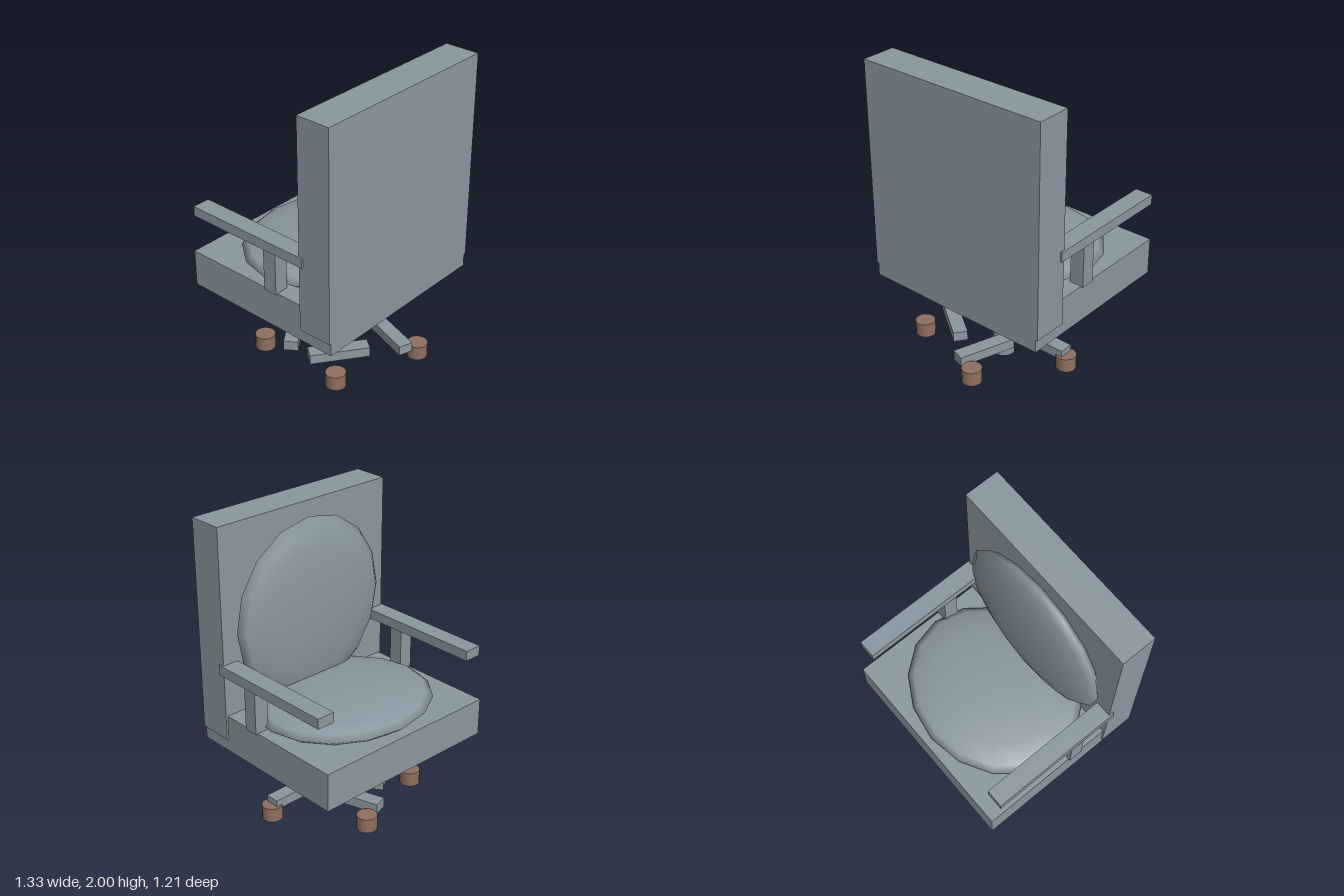
import * as THREE from 'three';

export function createModel() {
  const model = new THREE.Group();
  model.name = 'officeChair';
  const grey = new THREE.MeshStandardMaterial({ color: 0x8a97a0 });
  grey.name = 'blueGrey';
  const brown = new THREE.MeshStandardMaterial({ color: 0x8f6f60 });
  brown.name = 'brown';

  const add = (name, geometry, material, x, y, z) => {
    const mesh = new THREE.Mesh(geometry, material);
    mesh.name = name;
    mesh.position.set(x, y, z);
    model.add(mesh);
    return mesh;
  };
  // box given by its lower and upper limits on each axis
  const slab = (name, [x0, x1], [y0, y1], [z0, z1]) =>
    add(name, new THREE.BoxGeometry(x1 - x0, y1 - y0, z1 - z0), grey,
      (x0 + x1) / 2, (y0 + y1) / 2, (z0 + z1) / 2);

  // seat and backrest; the sitter looks towards -z
  slab('seat', [-0.64, 0.64], [0.54, 0.785], [-0.604, 0.521]);
  slab('backrest', [-0.653, 0.653], [0.625, 2], [0.293, 0.521]);

  // cushions: flattened spheres
  const seatCushion = new THREE.SphereGeometry(1, 16, 8).scale(0.593, 0.09, 0.51);
  add('seatCushion', seatCushion, grey, 0, 0.81, -0.05);
  const backCushion = new THREE.SphereGeometry(1, 16, 8).rotateX(-Math.PI / 2).scale(0.572, 0.59, 0.095);
  add('backCushion', backCushion, grey, 0, 1.325, 0.255);

  // armrests on square posts
  for (const [side, s] of [['left', 1], ['right', -1]]) {
    const span = (a, b) => [Math.min(s * a, s * b), Math.max(s * a, s * b)];
    slab(side + 'Armrest', span(0.547, 0.664), [1.065, 1.13], [-0.555, 0.325]);
    slab(side + 'ArmPost', span(0.558, 0.652), [0.78, 1.066], [0.01, 0.104]);
  }

  // central column
  const zc = 0.056;
  add('column', new THREE.CylinderGeometry(0.071, 0.071, 0.545, 16), grey, 0, 0.2725, zc);

  // five skewed base legs and casters
  for (let i = 0; i < 5; i++) {
    const a = (i * 2 * Math.PI) / 5;
    const c = Math.cos(a), s = Math.sin(a);
    const leg = add('baseLeg', new THREE.BoxGeometry(0.38, 0.065, 0.092), grey,
      0.318 * c, 0.217, zc + 0.318 * s);
    leg.rotation.y = a;
    add('caster', new THREE.CylinderGeometry(0.065, 0.065, 0.095, 16), brown,
      0.508 * c, 0.16, zc + 0.508 * s);
  }
  return model;
}
